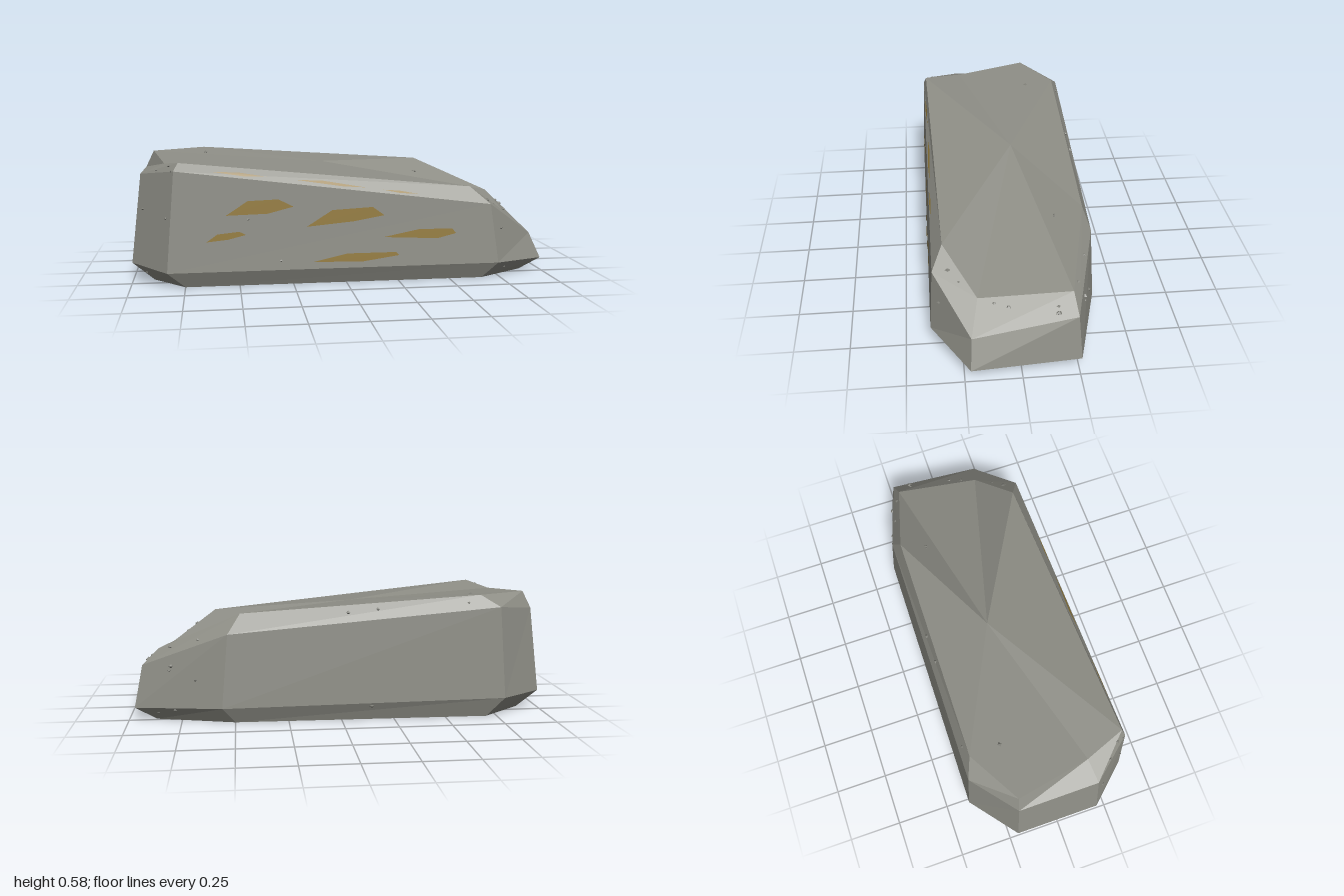
import * as THREE from 'three';

// Eight-cornered loops, from the base to the top, each going round from the front right corner
const rings = [
  [[-0.75, 0, 0.35], [0.66, 0, 0.35], [0.9, 0, 0.2], [0.87, 0, -0.235],
    [0.5, 0, -0.34], [-0.7, 0, -0.355], [-0.9, 0, -0.19], [-0.9, 0, 0.18]],
  [[-0.83, 0.075, 0.388], [0.73, 0.078, 0.388], [1, 0.06, 0.223], [0.97, 0.063, -0.26],
    [0.56, 0.075, -0.375], [-0.78, 0.095, -0.39], [-1, 0.085, -0.21], [-1, 0.09, 0.2]],
  [[-0.79, 0.54, 0.368], [0.69, 0.36, 0.37], [0.94, 0.187, 0.215], [0.93, 0.265, -0.245],
    [0.53, 0.42, -0.355], [-0.75, 0.53, -0.372], [-0.95, 0.5, -0.2], [-0.95, 0.51, 0.18]],
  [[-0.77, 0.577, 0.355], [0.6, 0.44, 0.32], [0.81, 0.3, 0.18], [0.85, 0.342, -0.23],
    [0.47, 0.512, -0.32], [-0.66, 0.585, -0.335], [-0.91, 0.582, -0.19], [-0.84, 0.555, 0.165]],
];
const topCentre = [-0.07, 0.532, -0.05];

// Mineral patches on the front, as x, y outlines
const patches = [
  [[-0.56, 0.335], [-0.37, 0.34], [-0.25, 0.37], [-0.32, 0.405], [-0.46, 0.4]],
  [[-0.65, 0.215], [-0.55, 0.225], [-0.47, 0.245], [-0.5, 0.26], [-0.6, 0.25]],
  [[-0.19, 0.275], [0.03, 0.295], [0.175, 0.32], [0.12, 0.36], [-0.07, 0.35]],
  [[0.17, 0.217], [0.43, 0.205], [0.52, 0.227], [0.5, 0.25], [0.34, 0.25]],
  [[-0.16, 0.11], [0.07, 0.105], [0.245, 0.13], [0.23, 0.145], [0, 0.145]],
  [[-0.62, 0.535], [-0.48, 0.513], [-0.37, 0.508], [-0.5, 0.53]],
  [[-0.23, 0.49], [-0.02, 0.458], [0.09, 0.45], [-0.12, 0.486]],
  [[0.17, 0.438], [0.25, 0.422], [0.34, 0.415], [0.25, 0.432]],
];

// Small chips lying on each side: two coordinates across that side, then size
const chips = {
  end: [[0.3, 0.37, 0.013], [0.255, 0.34, 0.008], [0.11, 0.29, 0.01], [0.05, 0.283, 0.012],
    [-0.16, 0.275, 0.016], [-0.16, 0.295, 0.01], [-0.2, 0.455, 0.007], [-0.255, 0.35, 0.011],
    [-0.3, 0.39, 0.009], [-0.29, 0.265, 0.013], [-0.29, 0.245, 0.008], [-0.33, 0.205, 0.01],
    [0.345, 0.24, 0.01], [0.33, 0.045, 0.008], [-0.34, 0.525, 0.011], [-0.305, 0.058, 0.01],
    [-0.27, 0.04, 0.008]],
  front: [[-0.94, 0.35, 0.009], [-0.83, 0.325, 0.01], [-0.46, 0.315, 0.008], [-0.31, 0.12, 0.008],
    [-0.87, 0.535, 0.009], [-0.81, 0.56, 0.009], [-0.8, 0.54, 0.008], [-0.93, 0.045, 0.01]],
  top: [[-0.65, -0.19, 0.011], [0.45, -0.2, 0.009], [-0.03, -0.34, 0.012]],
  back: [[-0.14, 0.07, 0.012], [-0.6, 0.55, 0.008]],
};

function rockGeometry() {
  const points = [];
  const n = 8;
  const tri = (a, b, c) => points.push(...a, ...b, ...c);
  for (let i = 0; i < n; i++) {
    const j = (i + 1) % n;
    for (let r = 0; r < 3; r++) {
      const lo = rings[r], hi = rings[r + 1];
      tri(lo[i], lo[j], hi[j]);
      tri(lo[i], hi[j], hi[i]);
    }
    tri(rings[3][i], rings[3][j], topCentre);
    tri(rings[0][j], rings[0][i], [0, 0, 0]);
  }
  const geo = new THREE.BufferGeometry();
  geo.setAttribute('position', new THREE.Float32BufferAttribute(points, 3));
  geo.computeVertexNormals();
  return geo;
}

export function createModel() {
  const model = new THREE.Group();
  model.name = 'boulder';
  const make = (name, color) => {
    const m = new THREE.MeshStandardMaterial({ color });
    m.name = name;
    return m;
  };
  const stone = make('grey stone', 0x8e8e86);
  const mineral = make('ochre mineral', 0x92793a);
  const chipStone = make('chip stone', 0x7f7f78);
  chipStone.flatShading = true;

  const rock = new THREE.Mesh(rockGeometry(), stone);
  rock.name = 'rockBody';
  rock.updateMatrixWorld();
  model.add(rock);

  // Finds the rock surface along a direction
  const caster = new THREE.Raycaster();
  const surface = (from, dir) => {
    caster.set(new THREE.Vector3(...from), new THREE.Vector3(...dir));
    return caster.intersectObject(rock)[0];
  };

  // Thin mineral patches laid on the front faces
  const patchGroup = new THREE.Group();
  patchGroup.name = 'mineralPatches';
  for (const outline of patches) {
    const geo = new THREE.ShapeGeometry(new THREE.Shape(outline.map(p => new THREE.Vector2(...p))));
    const pos = geo.attributes.position;
    for (let i = 0; i < pos.count; i++) {
      const hit = surface([pos.getX(i), pos.getY(i), 2], [0, 0, -1]);
      pos.setZ(i, (hit ? hit.point.z : 0.37) + 0.004);
    }
    geo.computeVertexNormals();
    const patch = new THREE.Mesh(geo, mineral);
    patch.name = 'mineralPatch';
    patchGroup.add(patch);
  }
  model.add(patchGroup);

  // Loose chips sitting on the surface
  const rays = {
    end: (a, b) => [[2, b, a], [-1, 0, 0]],
    front: (a, b) => [[a, b, 2], [0, 0, -1]],
    top: (a, b) => [[a, 2, b], [0, -1, 0]],
    back: (a, b) => [[a, b, -2], [0, 0, 1]],
  };
  const chipGeo = new THREE.OctahedronGeometry(1);
  const chipGroup = new THREE.Group();
  chipGroup.name = 'stoneChips';
  for (const side of Object.keys(chips)) {
    chips[side].forEach(([a, b, size], i) => {
      const hit = surface(...rays[side](a, b));
      if (!hit) return;
      const chip = new THREE.Mesh(chipGeo, chipStone);
      chip.name = 'stoneChip';
      chip.position.copy(hit.point);
      chip.scale.set(size, size * 0.75, size);
      chip.rotation.y = i * 1.3;
      chipGroup.add(chip);
    });
  }
  model.add(chipGroup);
  return model;
}
